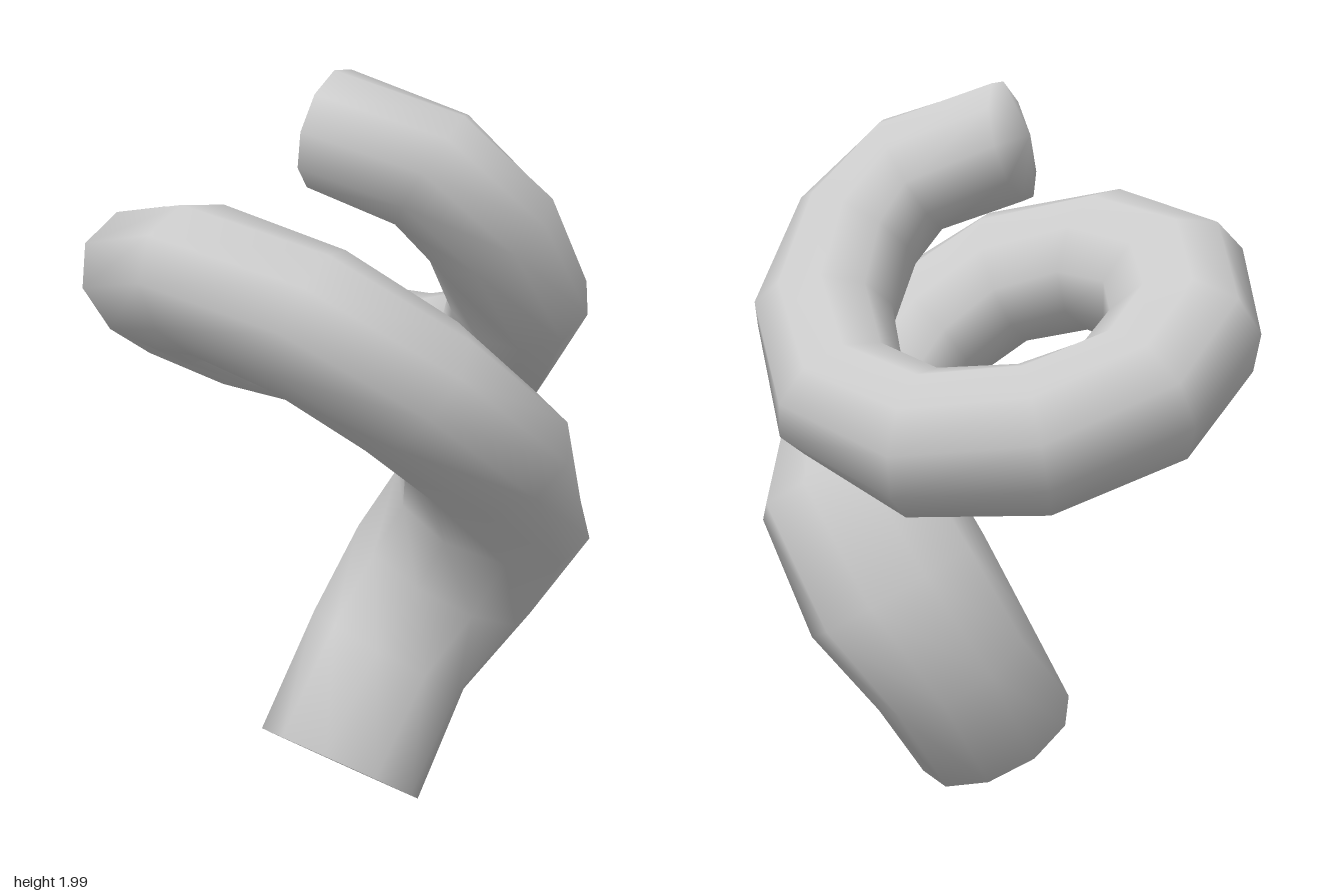
import * as THREE from 'three';

const SIDES = 10;

// Centre line of the coil from foot to tip: x, y, z, radius across the coil, radius along its axis
const RINGS = [
  [0.09, 0.125, 0.15, 0.24, 0.16], [0.115, 0.4, -0.05, 0.245, 0.165],
  [0.23, 0.635, -0.15, 0.275, 0.175], [0.395, 0.87, -0.12, 0.27, 0.185],
  [0.485, 1.09, 0.075, 0.23, 0.185], [0.41, 1.28, 0.295, 0.22, 0.185],
  [0.21, 1.435, 0.43, 0.22, 0.185], [-0.1, 1.5, 0.435, 0.22, 0.185],
  [-0.37, 1.455, 0.31, 0.215, 0.185], [-0.505, 1.345, 0.06, 0.207, 0.185],
  [-0.49, 1.23, -0.18, 0.197, 0.19], [-0.32, 1.15, -0.385, 0.187, 0.195],
  [-0.055, 1.13, -0.475, 0.182, 0.195], [0.2, 1.21, -0.445, 0.182, 0.185],
  [0.355, 1.395, -0.295, 0.19, 0.17], [0.37, 1.6, -0.11, 0.19, 0.165],
  [0.255, 1.75, -0.015, 0.19, 0.16], [-0.02, 1.84, 0.045, 0.185, 0.155],
];
const AXIS = new THREE.Vector3(0, 0.8, -0.6);

// Closed, smooth tube with one elliptical ring at every point of the centre line
function coilGeometry() {
  const path = RINGS.map(([x, y, z]) => new THREE.Vector3(x, y, z));
  const curve = new THREE.CatmullRomCurve3(path);
  const last = path.length - 1;
  const positions = [];
  const index = [];
  path.forEach((c, i) => {
    const tangent = curve.getTangent(i / last);
    // Direction away from the coil's axis, which leans aside near the foot
    const hubX = THREE.MathUtils.lerp(-0.5, -0.05, Math.min(i / 4, 1));
    const outward = c.clone().sub(new THREE.Vector3(hubX, 1.25, 0))
      .projectOnPlane(AXIS).projectOnPlane(tangent).normalize();
    const along = tangent.clone().cross(outward);
    const [, , , across, thick] = RINGS[i];
    for (let j = 0; j < SIDES; j++) {
      const a = (j / SIDES) * Math.PI * 2;
      const p = c.clone()
        .addScaledVector(outward, Math.cos(a) * across)
        .addScaledVector(along, Math.sin(a) * thick);
      positions.push(p.x, p.y, p.z);
    }
  });
  // Centres of the flat foot cap and the slightly domed tip cap
  const foot = path.length * SIDES;
  const tip = foot + 1;
  const tipCentre = path[last].clone().addScaledVector(curve.getTangent(1), 0.05);
  positions.push(...path[0].toArray(), ...tipCentre.toArray());

  for (let j = 0; j < SIDES; j++) {
    const k = (j + 1) % SIDES;
    for (let i = 0; i < last; i++) {
      const a = i * SIDES + j, b = i * SIDES + k;
      index.push(a, b, a + SIDES, b, b + SIDES, a + SIDES);
    }
    index.push(foot, k, j, tip, last * SIDES + j, last * SIDES + k);
  }
  const geometry = new THREE.BufferGeometry();
  geometry.setAttribute('position', new THREE.Float32BufferAttribute(positions, 3));
  geometry.setIndex(index);
  geometry.computeVertexNormals();
  return geometry;
}

export function createModel() {
  const group = new THREE.Group();
  group.name = 'spiralCoil';
  const geometry = coilGeometry();

  // Stand on the ground, centred
  geometry.computeBoundingBox();
  const box = geometry.boundingBox;
  const centre = box.getCenter(new THREE.Vector3());
  geometry.translate(-centre.x, -box.min.y, -centre.z);

  const coil = new THREE.Mesh(geometry, new THREE.MeshStandardMaterial({ color: 0xcccccc }));
  coil.name = 'coil';
  group.add(coil);
  return group;
}
